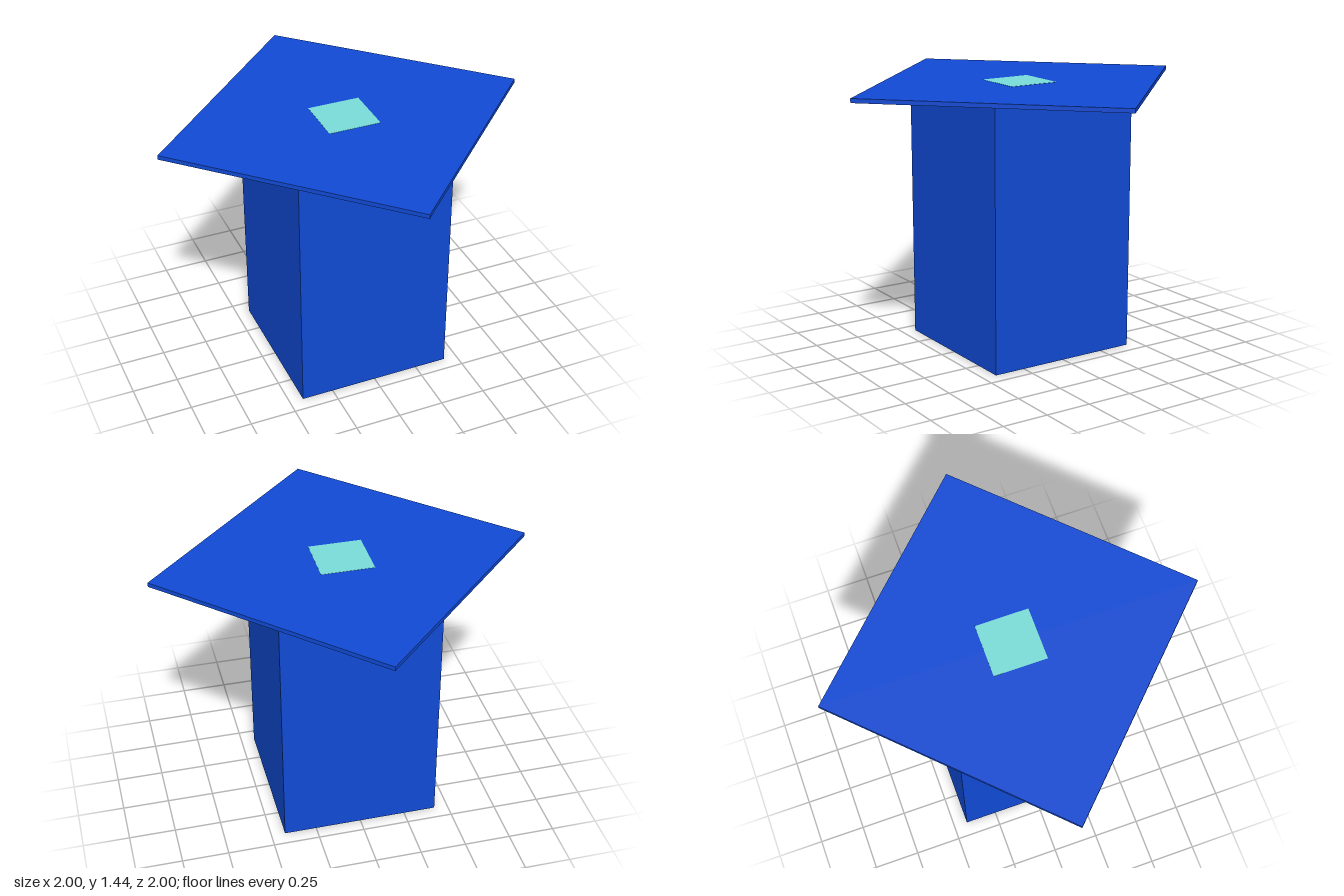
import * as THREE from 'three';

const BLUE = new THREE.MeshStandardMaterial({ color: 0x104ad4 });
const AQUA = new THREE.MeshStandardMaterial({ color: 0x7adcd8 });

// Box with a square footprint, spanning two heights
function squarePrism(name, width, bottom, top, material) {
  const mesh = new THREE.Mesh(new THREE.BoxGeometry(width, top - bottom, width), material);
  mesh.name = name;
  mesh.position.y = (bottom + top) / 2;
  return mesh;
}

export function createModel() {
  const model = new THREE.Group();
  model.name = 'lamp';

  // Square pillar body
  model.add(squarePrism('body', 0.85, 0.001, 1.418, BLUE));

  // Thin square lid turned so its corners lie on the axes
  const lid = squarePrism('lid', Math.SQRT2, 1.418, 1.441, BLUE);
  lid.rotation.y = Math.PI / 4;
  model.add(lid);

  // Inner core, showing as a small square at the top and the bottom
  model.add(squarePrism('core', 0.284, 0, 1.442, AQUA));

  return model;
}
